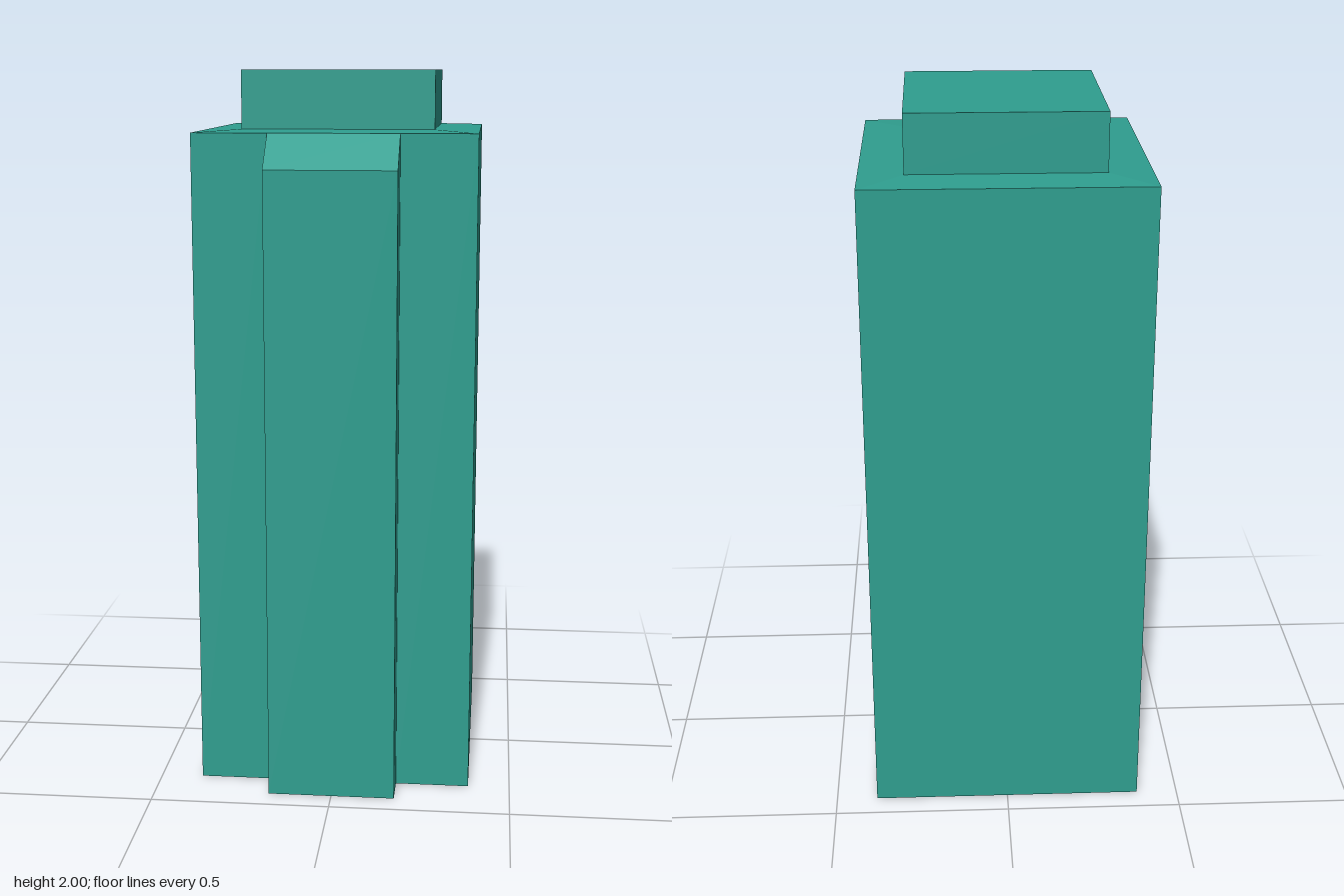
import * as THREE from 'three';

// Flat quads between two point rows running left to right as seen from outside
function strip(lower, upper) {
  const pos = [];
  for (let i = 0; i < lower.length - 1; i++) {
    const [a, b, c, d] = [lower[i], lower[i + 1], upper[i + 1], upper[i]];
    pos.push(...a, ...b, ...c, ...a, ...c, ...d);
  }
  const g = new THREE.BufferGeometry();
  g.setAttribute('position', new THREE.Float32BufferAttribute(pos, 3));
  g.computeVertexNormals();
  return g;
}

// Closed square row, starting at the front, centred on the body axis
function square(half, y, zc) {
  return [[-1, 1], [1, 1], [1, -1], [-1, -1], [-1, 1]].map(([x, z]) => [x * half, y, zc + z * half]);
}

export function createModel() {
  const group = new THREE.Group();
  const teal = new THREE.MeshStandardMaterial({ color: 0x2f9e8f, side: THREE.DoubleSide });
  teal.name = 'teal';

  const add = (name, lower, upper) => {
    const mesh = new THREE.Mesh(strip(lower, upper), teal);
    mesh.name = name;
    group.add(mesh);
  };
  const atHeight = (pts, y) => pts.map(([x, , z]) => [x, y, z]);

  const half = 0.383, zc = -0.05, front = 0.333, ribHalf = 0.177, ribFront = 0.432;
  const wallTop = 1.836, shoulderTop = 1.842, capHalf = 0.263, ribTop = 1.745;

  // Body walls: open underneath, with a gap in front where the rib joins
  const ring = square(half, 0, zc);
  const outline = [[ribHalf, 0, front], ...ring.slice(1), [-ribHalf, 0, front]];
  add('bodyWalls', outline, atHeight(outline, wallTop));

  // Hollow front rib with a sloping top
  const ribBase = [[-ribHalf, 0, front], [-ribHalf, 0, ribFront], [ribHalf, 0, ribFront], [ribHalf, 0, front]];
  const ribUpper = ribBase.map(([x, , z]) => [x, z === front ? wallTop : ribTop, z]);
  add('ribWalls', ribBase, ribUpper);
  add('ribSlope', [ribUpper[1], ribUpper[2]], [ribUpper[0], ribUpper[3]]);

  // Slightly raised shoulder around the cap
  add('shoulder', square(half, wallTop, zc), square(capHalf, shoulderTop, zc));

  // Square cap
  const capRing = square(capHalf, 2, zc);
  add('capWalls', square(capHalf, shoulderTop, zc), capRing);
  add('capTop', [capRing[0], capRing[1]], [capRing[3], capRing[2]]);

  return group;
}
